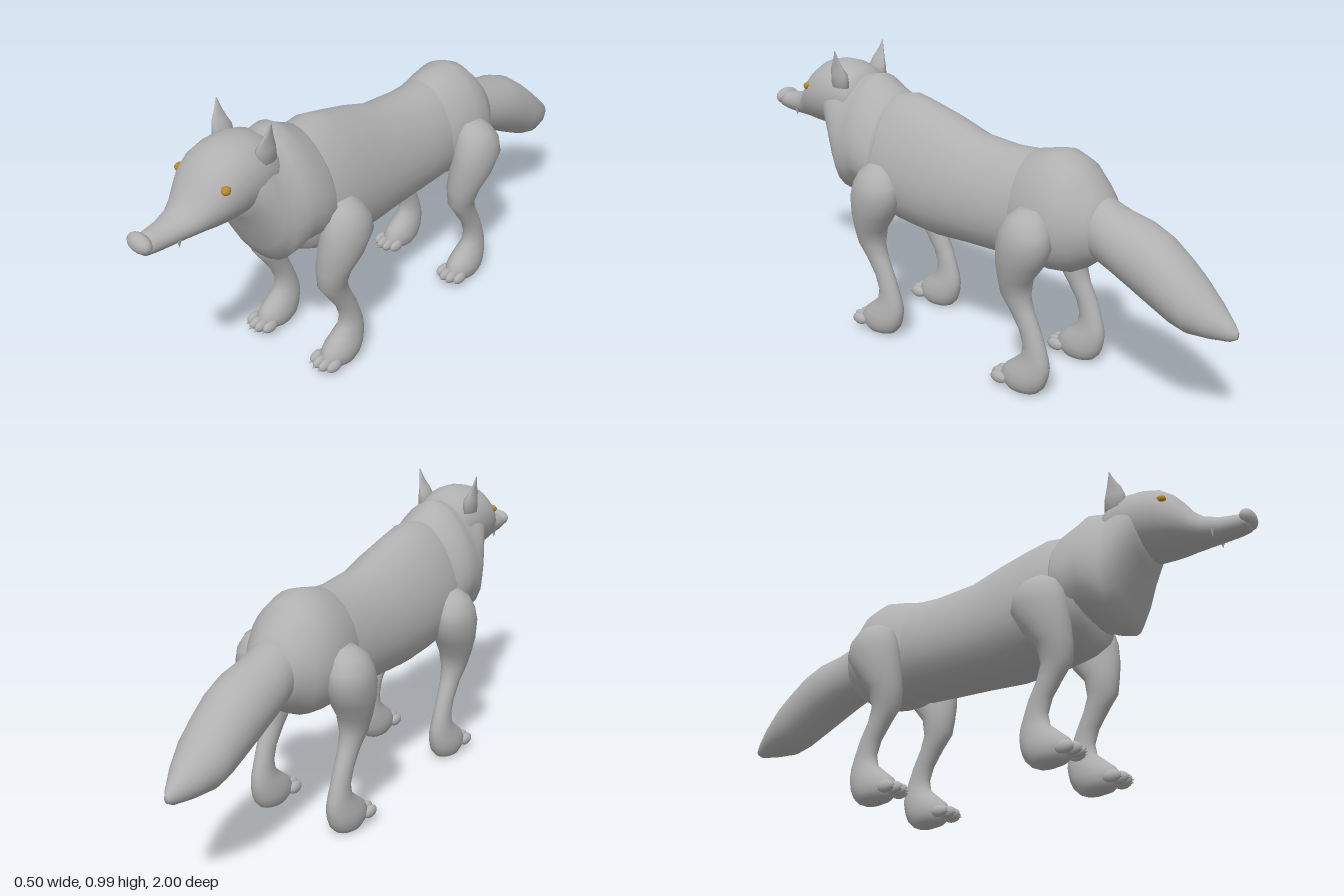
import * as THREE from 'three';

const fur = new THREE.MeshStandardMaterial({ color: 0xb0b0b0 });
fur.name = 'grey fur';
const gold = new THREE.MeshStandardMaterial({ color: 0xb8862d });
gold.name = 'golden eye';

const SIDES = 28;

// Smooth closed skin over rings of points, with a centre point closing each end
function skin(rings) {
  const pos = [], idx = [], n = rings[0].length;
  rings.forEach(r => r.forEach(p => pos.push(...p)));
  const centre = r => [0, 1, 2].map(k => r.reduce((s, p) => s + p[k], 0) / n);
  const last = (rings.length - 1) * n, c0 = rings.length * n, c1 = c0 + 1;
  pos.push(...centre(rings[0]), ...centre(rings[rings.length - 1]));
  for (let j = 0; j < n; j++) {
    const k = (j + 1) % n;
    for (let i = 0; i < last; i += n) {
      idx.push(i + j, i + k, i + n + k, i + j, i + n + k, i + n + j);
    }
    idx.push(c0, k, j, c1, last + j, last + k);
  }
  const g = new THREE.BufferGeometry();
  g.setAttribute('position', new THREE.Float32BufferAttribute(pos, 3));
  g.setIndex(idx);
  g.computeVertexNormals();
  return g;
}

const ring = f => Array.from({ length: SIDES }, (_, j) => {
  const a = j / SIDES * Math.PI * 2;
  return f(Math.cos(a), Math.sin(a));
});

// Sections along z: [z, top, bottom, half width, narrowing towards the top]
const alongZ = list => skin(list.map(([z, top, bot, w, t = 0]) => ring((c, s) =>
  [w * c * (1 - t * s), (top + bot) / 2 + (top - bot) / 2 * s, z])));

// Sections up y: [y, back z, front z, inner x, outer x]
const alongY = list => skin(list.map(([y, z0, z1, x0, x1]) => ring((c, s) =>
  [(x0 + x1) / 2 + (x1 - x0) / 2 * c, y, (z0 + z1) / 2 - (z1 - z0) / 2 * s])));

function add(parent, name, geometry, material = fur) {
  const m = new THREE.Mesh(geometry, material);
  m.name = name;
  parent.add(m);
  return m;
}

function ball(parent, name, x, y, z, rx, ry, rz, material = fur) {
  const m = add(parent, name, new THREE.SphereGeometry(1, 14, 10), material);
  m.position.set(x, y, z);
  m.scale.set(rx, ry, rz);
  return m;
}

const legGeometry = alongY([
  [0.003, 0.3, 0.36, 0.135, 0.17],
  [0.014, 0.275, 0.395, 0.115, 0.193],
  [0.035, 0.255, 0.42, 0.103, 0.203],
  [0.06, 0.244, 0.42, 0.101, 0.205],
  [0.085, 0.238, 0.405, 0.104, 0.201],
  [0.11, 0.235, 0.375, 0.11, 0.194],
  [0.14, 0.239, 0.34, 0.118, 0.188],
  [0.18, 0.252, 0.333, 0.123, 0.184],
  [0.23, 0.27, 0.35, 0.124, 0.184],
  [0.29, 0.3, 0.39, 0.12, 0.186],
  [0.34, 0.318, 0.424, 0.11, 0.197],
  [0.4, 0.31, 0.427, 0.1, 0.217],
  [0.46, 0.262, 0.428, 0.1, 0.238],
  [0.53, 0.228, 0.422, 0.1, 0.251],
  [0.58, 0.235, 0.41, 0.1, 0.243],
  [0.62, 0.26, 0.39, 0.1, 0.222],
  [0.645, 0.29, 0.36, 0.11, 0.185],
]);

// One leg with its toes and claws, on the left side
function makeLeg(name) {
  const leg = new THREE.Group();
  leg.name = name;
  add(leg, 'legAndPaw', legGeometry);
  for (let i = 0; i < 4; i++) {
    const x = 0.153 + (i - 1.5) * 0.026, back = i % 3 ? 0 : 0.014;
    ball(leg, 'toe', x, 0.042, 0.423 - back, 0.016, 0.021, 0.032);
    const claw = add(leg, 'claw', new THREE.ConeGeometry(0.009, 0.026, 6));
    claw.rotation.x = Math.PI / 2 + 0.25;
    claw.position.set(x, 0.037, 0.45 - back);
  }
  return leg;
}

export function createModel() {
  const model = new THREE.Group();
  model.name = 'wolf';

  // Trunk
  add(model, 'torso', alongZ([
    [-0.32, 0.785, 0.42, 0.135, 0.12], [-0.25, 0.782, 0.408, 0.146, 0.12],
    [-0.15, 0.775, 0.404, 0.148, 0.12], [0, 0.786, 0.4, 0.154, 0.14],
    [0.12, 0.825, 0.394, 0.164, 0.18], [0.22, 0.85, 0.402, 0.17, 0.2],
    [0.3, 0.868, 0.412, 0.172, 0.22], [0.38, 0.855, 0.43, 0.168, 0.22],
    [0.43, 0.84, 0.45, 0.15, 0.2], [0.45, 0.82, 0.5, 0.11, 0.2],
  ]));
  add(model, 'hindquarters', alongZ([
    [-0.54, 0.655, 0.5, 0.07], [-0.5, 0.705, 0.468, 0.105], [-0.46, 0.75, 0.435, 0.135, 0.08],
    [-0.42, 0.788, 0.413, 0.157, 0.1], [-0.36, 0.81, 0.405, 0.165, 0.12],
    [-0.3, 0.798, 0.405, 0.158, 0.12], [-0.24, 0.783, 0.42, 0.146, 0.12],
    [-0.22, 0.765, 0.45, 0.13, 0.12],
  ]));
  add(model, 'mane', alongZ([
    [0.34, 0.83, 0.52, 0.15, 0.2], [0.365, 0.862, 0.49, 0.172, 0.25],
    [0.42, 0.888, 0.495, 0.178, 0.27], [0.455, 0.911, 0.5, 0.176, 0.27],
    [0.49, 0.905, 0.48, 0.174, 0.26], [0.535, 0.895, 0.466, 0.166, 0.24],
    [0.57, 0.91, 0.525, 0.154, 0.18], [0.605, 0.91, 0.61, 0.138, 0.1],
    [0.635, 0.9, 0.665, 0.123], [0.66, 0.88, 0.7, 0.1],
  ]));
  add(model, 'tail', alongZ([
    [-1, 0.383, 0.358, 0.008], [-0.98, 0.407, 0.345, 0.024], [-0.92, 0.46, 0.338, 0.06],
    [-0.85, 0.522, 0.335, 0.089], [-0.8, 0.564, 0.348, 0.096], [-0.73, 0.615, 0.382, 0.102],
    [-0.66, 0.643, 0.418, 0.105], [-0.58, 0.658, 0.455, 0.1], [-0.52, 0.682, 0.476, 0.092],
    [-0.44, 0.7, 0.5, 0.08],
  ]));

  // Head with long muzzle
  const head = new THREE.Group();
  head.name = 'head';
  model.add(head);
  add(head, 'skullAndMuzzle', alongZ([
    [0.5, 0.88, 0.72, 0.09], [0.54, 0.918, 0.7, 0.113], [0.6, 0.935, 0.69, 0.124],
    [0.66, 0.932, 0.688, 0.126], [0.71, 0.918, 0.686, 0.121], [0.75, 0.888, 0.687, 0.109],
    [0.78, 0.852, 0.688, 0.092], [0.81, 0.808, 0.688, 0.075], [0.84, 0.783, 0.687, 0.06],
    [0.89, 0.765, 0.686, 0.046], [0.94, 0.758, 0.688, 0.039], [0.972, 0.752, 0.694, 0.036],
    [0.982, 0.74, 0.704, 0.026],
  ]));
  ball(head, 'nose', 0, 0.735, 0.974, 0.048, 0.031, 0.026);

  const earGeometry = alongY([
    [0.86, 0.53, 0.61, 0.068, 0.114], [0.905, 0.535, 0.607, 0.073, 0.115],
    [0.93, 0.545, 0.6, 0.09, 0.114], [0.95, 0.552, 0.587, 0.1, 0.115],
    [0.972, 0.559, 0.575, 0.108, 0.117], [0.992, 0.564, 0.567, 0.115, 0.118],
  ]);

  // Paired parts; the right side mirrors the left
  for (const [label, sign] of [['left', 1], ['right', -1]]) {
    const side = new THREE.Group();
    side.name = label + 'Side';
    side.scale.x = sign;
    model.add(side);

    side.add(makeLeg(label + 'FrontLeg'));
    const hind = makeLeg(label + 'HindLeg');
    hind.position.z = -0.657;
    side.add(hind);

    add(side, 'ear', earGeometry);
    ball(side, 'eye', 0.102, 0.836, 0.736, 0.014, 0.012, 0.014, gold);
    const lid = ball(side, 'eyelid', 0.1, 0.842, 0.733, 0.015, 0.008, 0.014, gold);
    lid.rotation.z = -0.2;
    const fang = add(side, 'fang', new THREE.ConeGeometry(0.008, 0.026, 8));
    fang.rotation.x = Math.PI;
    fang.position.set(0.042, 0.699, 0.87);
  }
  return model;
}
